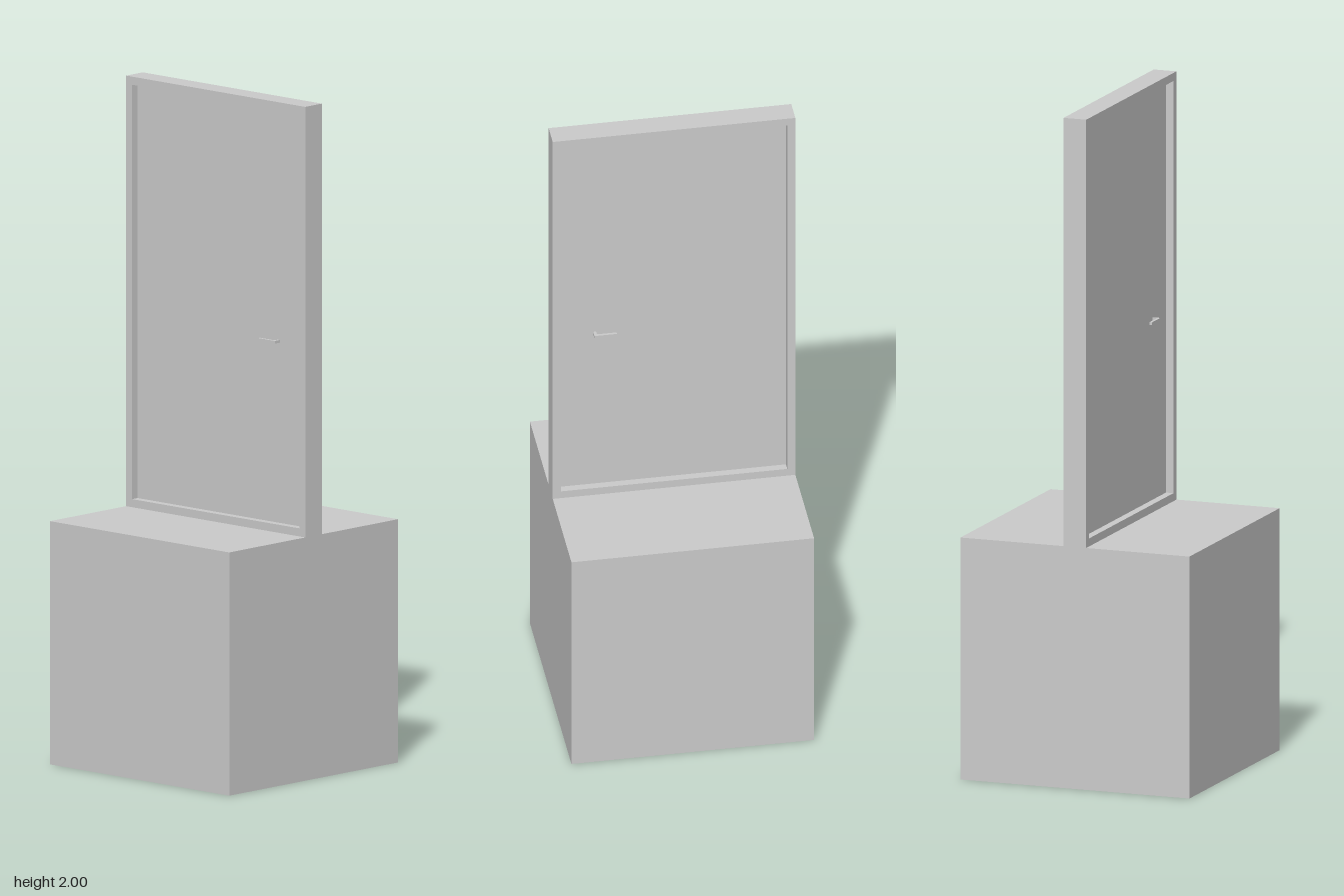
import * as THREE from 'three';

const material = new THREE.MeshStandardMaterial({ color: 0xcccccc, flatShading: true });

function box(name, w, h, d, x, y, z) {
  const mesh = new THREE.Mesh(new THREE.BoxGeometry(w, h, d), material);
  mesh.name = name;
  mesh.position.set(x, y, z);
  return mesh;
}

export function createModel() {
  const group = new THREE.Group();
  group.name = 'doorOnPlinth';

  const size = 0.718, top = 2, depth = 0.071;
  const rim = 0.024;      // visible width of the frame
  const panel = 0.024;    // door leaf thickness
  const doorHeight = top - size - 0.004;
  const base = top - doorHeight;

  // Cubic plinth
  group.add(box('plinth', size, base, size, 0, base / 2, 0));

  // Door frame: a rectangle with a rectangular opening
  const half = size / 2;
  const rect = (path, x, y0, y1) =>
    path.moveTo(-x, y0).lineTo(x, y0).lineTo(x, y1).lineTo(-x, y1).closePath();
  const outline = new THREE.Shape();
  rect(outline, half, base, top);
  const opening = new THREE.Path();
  rect(opening, half - rim, base + rim, top - rim);
  outline.holes.push(opening);
  const frameGeometry = new THREE.ExtrudeGeometry(outline, { depth, bevelEnabled: false });
  frameGeometry.translate(0, 0, -depth / 2);
  const frame = new THREE.Mesh(frameGeometry, material);
  frame.name = 'doorFrame';
  group.add(frame);

  // Recessed door leaf
  group.add(box('doorLeaf', size - 2 * rim, doorHeight - 2 * rim, panel, 0, (base + top) / 2, 0));

  // Lever handle on each face, with its spindle at the outer end
  for (const side of [1, -1]) {
    const handle = new THREE.Group();
    handle.name = side > 0 ? 'frontHandle' : 'backHandle';
    handle.add(
      box('spindle', 0.009, 0.008, 0.02, 0.231, 1.285, side * (panel / 2 + 0.01)),
      box('lever', 0.067, 0.008, 0.008, 0.202, 1.285, side * (panel / 2 + 0.018))
    );
    group.add(handle);
  }

  return group;
}
